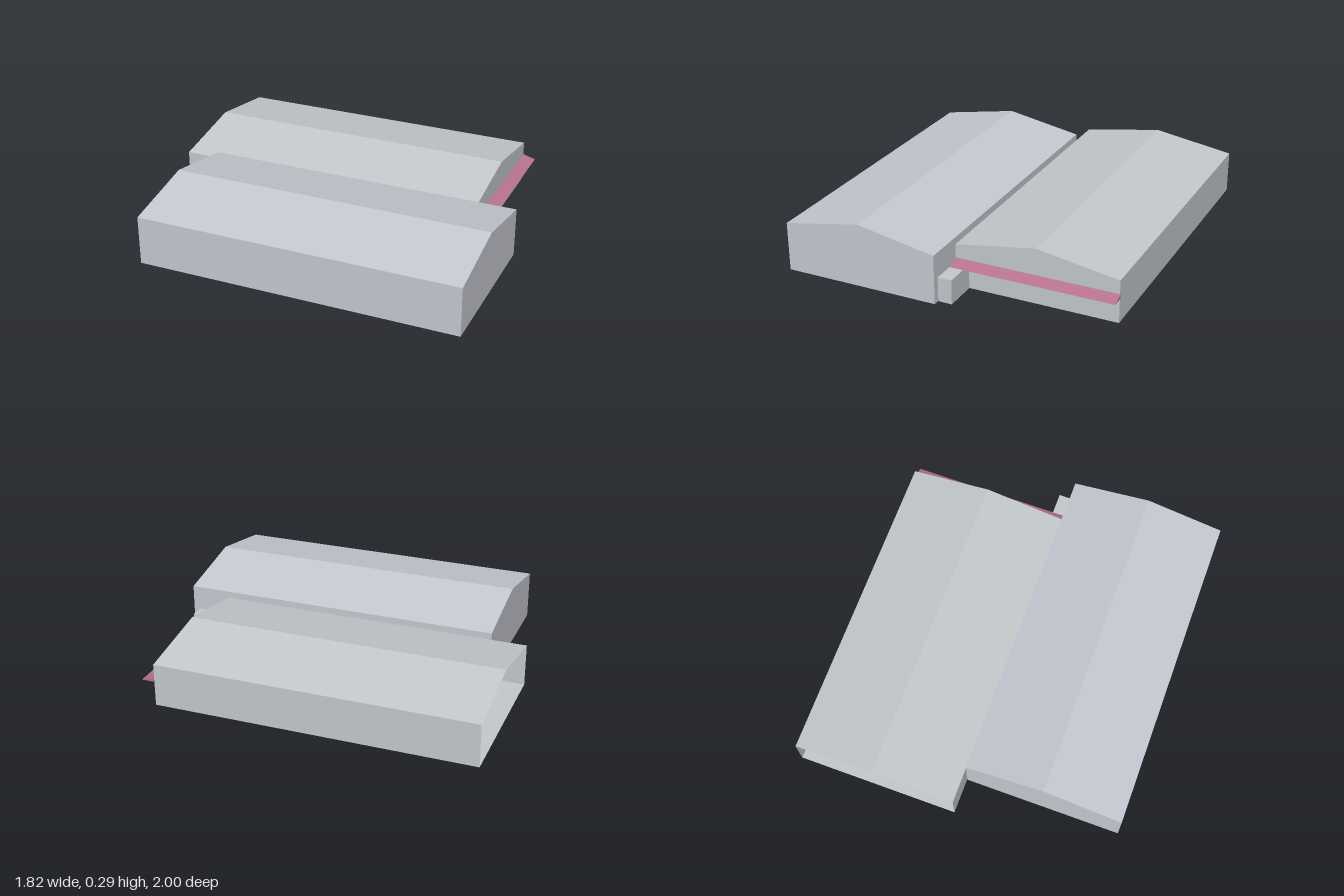
import * as THREE from 'three';

const material = (name, color) => new THREE.MeshStandardMaterial({ name, color, flatShading: true, side: THREE.DoubleSide });

// Prism along x from a convex [z, y] profile, anticlockwise as seen from +x.
// The first side is group 0, everything else group 1.
function prism(profile, x0, x1, openStart = false) {
  const pos = [];
  const n = profile.length;
  const put = (x, i) => pos.push(x, profile[i % n][1], profile[i % n][0]);
  for (let i = 0; i < n; i++) {
    put(x0, i); put(x0, i + 1); put(x1, i + 1);
    put(x0, i); put(x1, i + 1); put(x1, i);
  }
  for (let i = 1; i < n - 1; i++) {
    put(x1, 0); put(x1, i); put(x1, i + 1);
    if (!openStart) { put(x0, 0); put(x0, i + 1); put(x0, i); }
  }
  const geometry = new THREE.BufferGeometry();
  geometry.setAttribute('position', new THREE.Float32BufferAttribute(pos, 3));
  geometry.computeVertexNormals();
  geometry.addGroup(0, 6, 0);
  geometry.addGroup(6, pos.length / 3 - 6, 1);
  return geometry;
}

// Gabled hall profile, ridge running along x
const gable = (z0, z1, eave, ridge) =>
  [[z1, 0], [z0, 0], [z0, eave], [(z0 + z1) / 2, ridge], [z1, eave]];

export function createModel() {
  const frontGrey = material('cool grey', 0xc6c9d2);
  const backGrey = material('neutral grey', 0xc4c9cc);
  const pink = material('awning pink', 0xb87391);

  const model = new THREE.Group();
  model.name = 'warehouse';
  const site = new THREE.Group();
  site.name = 'turnedBuildings';
  site.rotation.y = -0.4075;
  model.add(site);

  const add = (name, geometry, mats) => {
    const mesh = new THREE.Mesh(geometry, mats);
    mesh.name = name;
    site.add(mesh);
    return mesh;
  };

  // Two parallel halls; the far end of the back one is open
  add('frontHall', prism(gable(0.019, 0.74, 0.225, 0.292), -0.673, 0.804), [frontGrey, frontGrey]);
  add('backHall', prism(gable(-0.73, 0.017, 0.195, 0.256), -0.834, 0.618, true), [backGrey, backGrey]);

  // Low annex in the corner between the halls
  const annex = new THREE.BoxGeometry(0.157, 0.112, 0.064);
  annex.translate(0.6965, 0.056, -0.014);
  add('annex', annex, backGrey);

  // Wedge awning along the end wall, grey underneath
  const awning = prism([[0.676, 0.114], [0.618, 0.114], [0.618, 0.133]], -0.015, 0.733);
  add('awning', awning, [backGrey, pink]).rotation.y = Math.PI / 2;

  return model;
}
